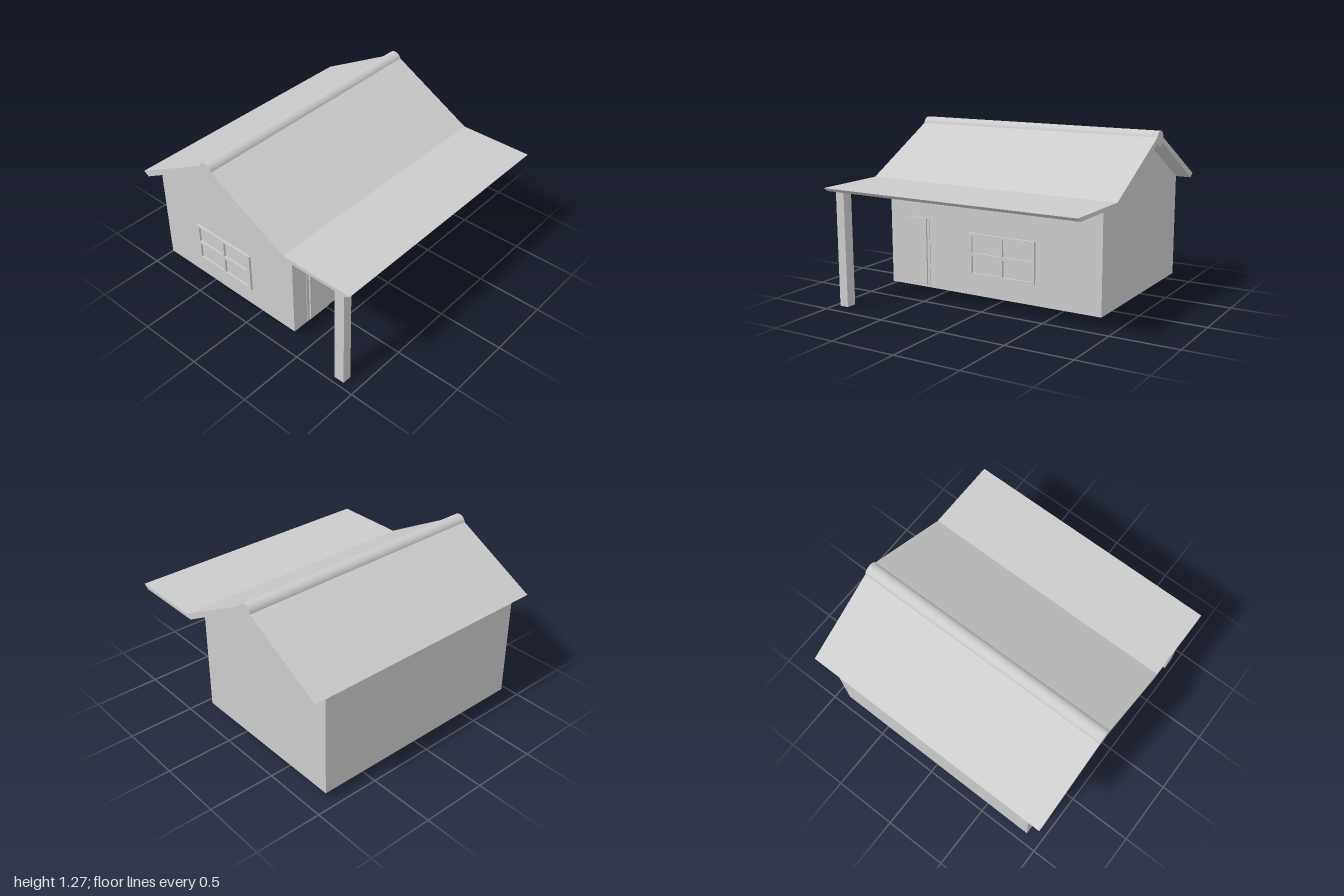
import * as THREE from 'three';

const material = new THREE.MeshStandardMaterial({ color: 0xcccccc });

function mesh(name, geometry, parent) {
  const m = new THREE.Mesh(geometry, material);
  m.name = name;
  parent.add(m);
  return m;
}

// Prism along z, centred on z = 0
function prism(points, length) {
  const shape = new THREE.Shape(points.map(([x, y]) => new THREE.Vector2(x, y)));
  return new THREE.ExtrudeGeometry(shape, { depth: length, bevelEnabled: false })
    .translate(0, 0, -length / 2);
}

function rectangle(target, x, y, w, h) {
  target.moveTo(x, y).lineTo(x + w, y).lineTo(x + w, y + h).lineTo(x, y + h).closePath();
  return target;
}

// Frame with cols x rows openings, standing on z = 0 and centred in x and y
function frameGeometry(w, h, depth, cols, rows, sideBar, endBar, midBar) {
  const shape = rectangle(new THREE.Shape(), -w / 2, -h / 2, w, h);
  const pw = (w - 2 * sideBar - (cols - 1) * midBar) / cols;
  const ph = (h - 2 * endBar - (rows - 1) * midBar) / rows;
  for (let i = 0; i < cols; i++) {
    for (let j = 0; j < rows; j++) {
      const x = -w / 2 + sideBar + i * (pw + midBar);
      const y = -h / 2 + endBar + j * (ph + midBar);
      shape.holes.push(rectangle(new THREE.Path(), x, y, pw, ph));
    }
  }
  return new THREE.ExtrudeGeometry(shape, { depth, bevelEnabled: false });
}

function createWindow(name) {
  const group = new THREE.Group();
  group.name = name;
  mesh('windowFrame', frameGeometry(0.545, 0.312, 0.018, 2, 2, 0.026, 0.019, 0.025), group);
  mesh('windowPanes', new THREE.BoxGeometry(0.53, 0.3, 0.004), group);
  return group;
}

export function createModel() {
  const house = new THREE.Group();
  house.name = 'house';

  // Walls with gable ends
  mesh('walls', prism([
    [-0.935, 0.07], [0.37, 0.07], [0.37, 0.85], [-0.283, 1.215], [-0.935, 0.85],
  ], 1.765), house);

  // Gabled roof that runs on as a flat porch cover
  mesh('roof', prism([
    [-0.98, 0.878], [-0.935, 0.85], [-0.283, 1.215], [0.37, 0.85],
    [0.935, 0.85], [0.977, 0.878], [0.41, 0.878], [-0.283, 1.257],
  ], 2), house);

  // Round ridge cap, set very slightly askew
  const ridge = mesh('ridgeCap',
    new THREE.CylinderGeometry(0.057, 0.057, 2, 32).rotateX(Math.PI / 2), house);
  ridge.position.set(-0.288, 1.217, 0);
  ridge.rotation.y = 0.005;

  // Porch post
  mesh('porchPost', new THREE.BoxGeometry(0.08, 0.852, 0.07), house)
    .position.set(0.855, 0.426, 0.925);

  // Windows
  const frontWindow = createWindow('frontWindow');
  frontWindow.position.set(-0.309, 0.378, 0.8825);
  const sideWindow = createWindow('sideWindow');
  sideWindow.position.set(0.37, 0.378, -0.097);
  sideWindow.rotation.y = Math.PI / 2;
  house.add(frontWindow, sideWindow);

  // Door with a thin surround and a raised panel
  const door = new THREE.Group();
  door.name = 'door';
  mesh('doorSurround', frameGeometry(0.225, 0.54, 0.005, 1, 1, 0.022, 0.016, 0), door);
  mesh('doorPanel', new THREE.BoxGeometry(0.181, 0.508, 0.018), door).position.z = 0.009;
  door.position.set(0.37, 0.345, 0.641);
  door.rotation.y = Math.PI / 2;
  house.add(door);

  return house;
}
